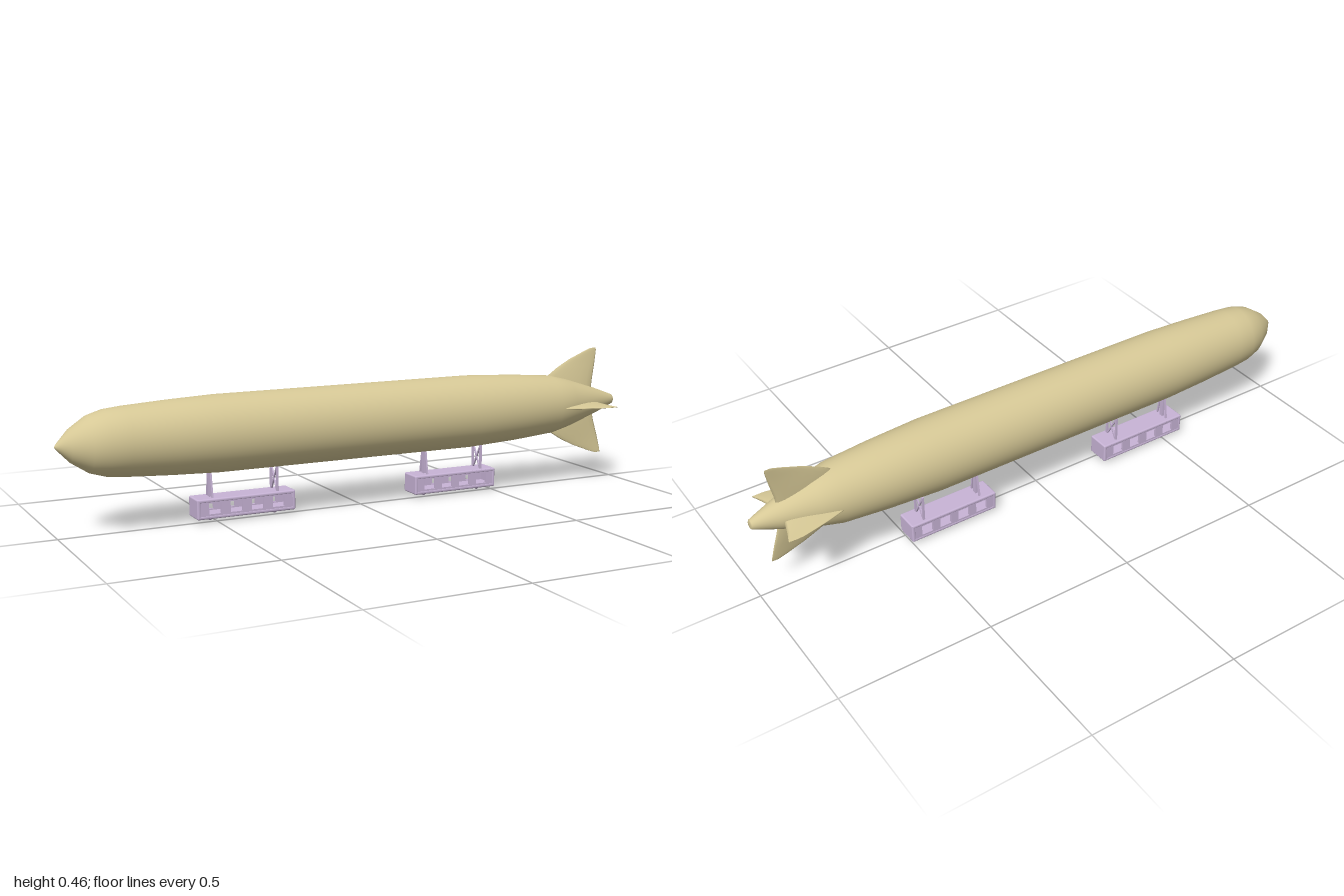
import * as THREE from 'three';
import { RoundedBoxGeometry } from 'three/addons/geometries/RoundedBoxGeometry.js';

const canvas = new THREE.MeshStandardMaterial({ color: 0xd6c896 });
const lilac = new THREE.MeshStandardMaterial({ color: 0xc8b4d6 });
const AXIS_Y = 0.277;

function add(parent, name, geometry, material, x = 0, y = 0, z = 0) {
  const mesh = new THREE.Mesh(geometry, material);
  mesh.name = name;
  mesh.position.set(x, y, z);
  parent.add(mesh);
  return mesh;
}

// Hull: [x, radius] profile turned about the long axis, slightly narrower than tall
function hullGeometry() {
  const profile = [[-1, 0], [-0.995, 0.008], [-0.955, 0.05], [-0.9, 0.086], [-0.85, 0.101], [-0.79, 0.107],
    [-0.65, 0.115], [-0.5, 0.121], [0.4, 0.121], [0.58, 0.112], [0.73, 0.1], [0.8, 0.083],
    [0.92, 0.045], [0.985, 0.021], [0.997, 0.016], [1, 0.012], [1, 0]];
  const g = new THREE.LatheGeometry(profile.map(([x, r]) => new THREE.Vector2(r, x)), 56);
  g.rotateZ(-Math.PI / 2);
  g.scale(1, 1, 0.925);
  return g;
}

// Fin: elliptical sections [span, leading x, trailing x, thickness] lofted outward
function finGeometry(sections) {
  const n = 16, pos = [], index = [];
  const last = sections[sections.length - 1];
  const mid = (last[1] + last[2]) / 2;
  const rows = [...sections, [last[0] + 0.001, mid, mid, 0]];
  rows.forEach(([y, lead, trail, thick]) => {
    for (let i = 0; i < n; i++) {
      const a = (i / n) * Math.PI * 2;
      pos.push((lead + trail) / 2 - Math.cos(a) * (trail - lead) / 2, y, Math.sin(a) * thick / 2);
    }
  });
  for (let j = 0; j < rows.length - 1; j++) {
    for (let i = 0; i < n; i++) {
      const a = j * n + i, b = j * n + (i + 1) % n;
      index.push(a, b, b + n, a, b + n, a + n);
    }
  }
  const g = new THREE.BufferGeometry();
  g.setAttribute('position', new THREE.Float32BufferAttribute(pos, 3));
  g.setIndex(index);
  g.computeVertexNormals();
  return g;
}

// Square bar between two points in the plane of a strut frame
function bar(parent, name, y0, z0, y1, z1, width, depth) {
  const length = Math.hypot(y1 - y0, z1 - z0);
  const mesh = add(parent, name, new THREE.BoxGeometry(depth, length, width), lilac,
    0, (y0 + y1) / 2, (z0 + z1) / 2);
  mesh.rotation.x = Math.atan2(z1 - z0, y1 - y0);
}

// Side wall with a row of window openings
function wallGeometry(length, height, windows) {
  const shape = new THREE.Shape();
  const w = length / 2 - 0.002, h = height / 2 - 0.002;
  shape.moveTo(-w, -h).lineTo(w, -h).lineTo(w, h).lineTo(-w, h).closePath();
  const pitch = length * 0.215;
  for (let i = 0; i < windows; i++) {
    const cx = (i - (windows - 1) / 2) * pitch;
    const hole = new THREE.Path();
    const hw = 0.02, top = 0.018, bottom = -0.016;
    hole.moveTo(cx - hw, bottom).lineTo(cx - hw, top).lineTo(cx + hw, top).lineTo(cx + hw, bottom).closePath();
    shape.holes.push(hole);
  }
  return new THREE.ExtrudeGeometry(shape, { depth: 0.008, bevelEnabled: false });
}

// Hollow cabin with windows, its two hangers and the feet underneath
function makeGondola(name, x, length, strutX) {
  const g = new THREE.Group();
  g.name = name;
  g.position.set(x, 0, -0.02);
  const bottom = 0.012, top = 0.076, width = 0.078, t = 0.012;
  const cy = (bottom + top) / 2, height = top - bottom;

  const slab = new RoundedBoxGeometry(length, t, width, 3, 0.005);
  add(g, 'cabinRoof', slab, lilac, 0, top - t / 2);
  add(g, 'cabinFloor', slab, lilac, 0, bottom + t / 2);
  const end = new RoundedBoxGeometry(t, height, width, 3, 0.005);
  const wall = wallGeometry(length, height, 4);
  for (const s of [-1, 1]) {
    add(g, 'cabinEnd', end, lilac, s * (length - t) / 2, cy);
    add(g, 'cabinWall', wall, lilac, 0, cy, s > 0 ? width / 2 - 0.009 : -width / 2 + 0.001);
  }

  strutX.forEach((sx, i) => {
    const strut = new THREE.Group();
    strut.name = i ? 'crossBracedHanger' : 'postHanger';
    strut.position.x = sx - x;
    g.add(strut);
    const y0 = top - 0.004, y1 = 0.161;
    if (i) {
      for (const s of [-1, 1]) {
        bar(strut, 'hangerUpright', y0, s * 0.025, y1, s * 0.025, 0.006, 0.007);
        bar(strut, 'hangerBrace', y0, s * 0.024, y1 - 0.004, -s * 0.024, 0.005, 0.005);
      }
    } else {
      bar(strut, 'hangerPost', y0, 0, y1, 0, 0.015, 0.008);
      for (const s of [-1, 1]) bar(strut, 'hangerLeg', y0, s * 0.024, y1, s * 0.009, 0.005, 0.006);
    }
    // Small pointed foot below the hanger
    add(g, 'foot', new THREE.CylinderGeometry(0.014, 0.003, 0.014, 16), lilac, sx - x, 0.007);
  });
  return g;
}

export function createModel() {
  const model = new THREE.Group();
  model.name = 'airship';

  add(model, 'hull', hullGeometry(), canvas, 0, AXIS_Y);

  // Tail fins, the upright pair taller than the level pair
  const tall = finGeometry([[0.02, 0.72, 0.91, 0.03], [0.07, 0.725, 0.918, 0.024], [0.1, 0.735, 0.925, 0.018],
    [0.125, 0.775, 0.931, 0.012], [0.15, 0.825, 0.936, 0.007], [0.175, 0.89, 0.941, 0.004], [0.184, 0.917, 0.941, 0.002]]);
  const level = finGeometry([[0.02, 0.72, 0.905, 0.024], [0.06, 0.725, 0.915, 0.017], [0.088, 0.735, 0.923, 0.011],
    [0.105, 0.795, 0.929, 0.007], [0.118, 0.85, 0.934, 0.004], [0.126, 0.888, 0.936, 0.002]]);
  const half = Math.PI / 2;
  add(model, 'upperFin', tall, canvas, 0, AXIS_Y).rotation.x = -0.11;
  add(model, 'lowerFin', tall, canvas, 0, AXIS_Y).rotation.x = Math.PI - 0.11;
  add(model, 'leftwardFin', level, canvas, 0, AXIS_Y).rotation.x = half + 0.06;
  add(model, 'rightwardFin', level, canvas, 0, AXIS_Y).rotation.x = -half - 0.06;

  model.add(makeGondola('forwardGondola', -0.405, 0.33, [-0.515, -0.297]));
  model.add(makeGondola('aftGondola', 0.35, 0.31, [0.248, 0.455]));
  return model;
}
